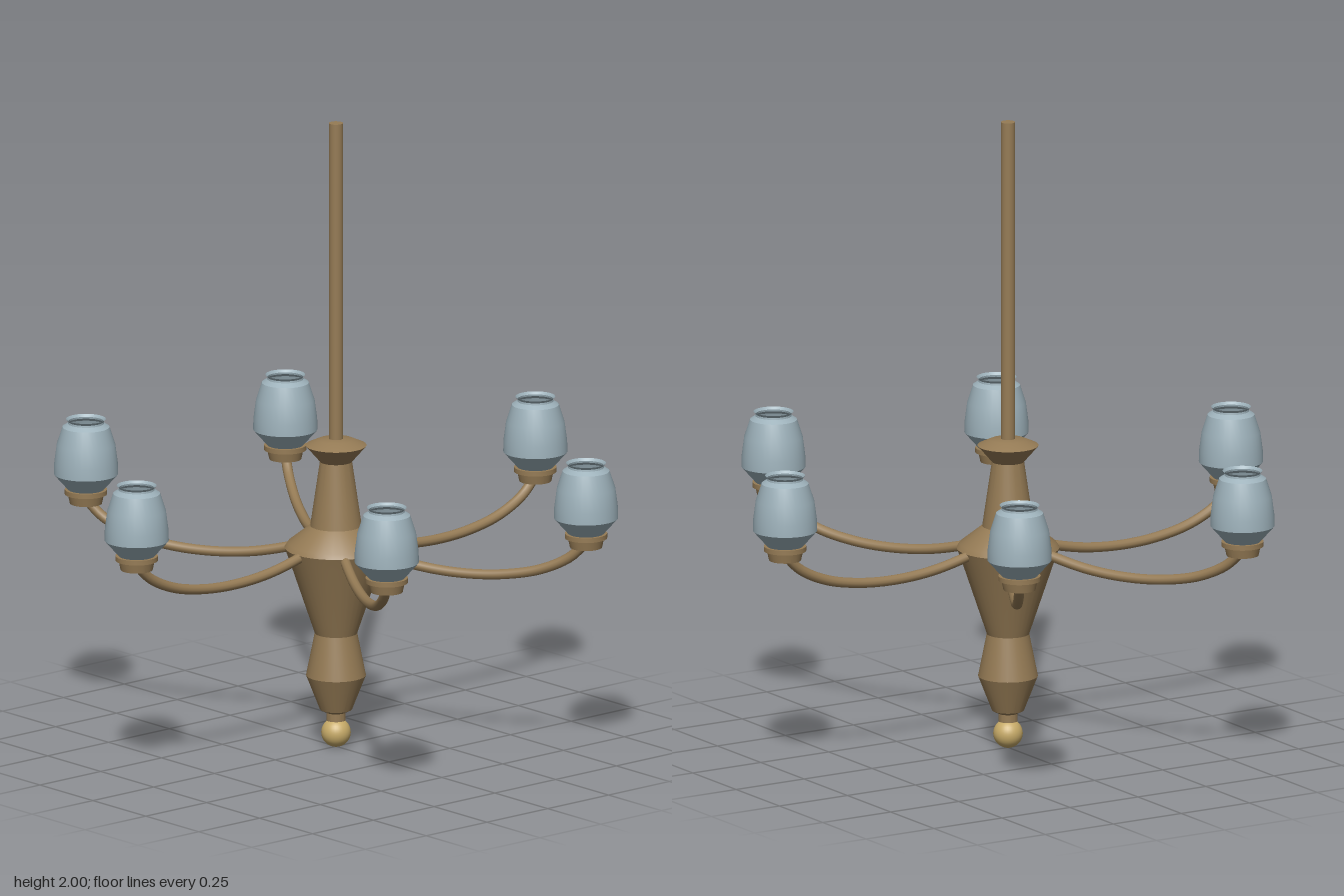
import * as THREE from 'three';
import { toCreasedNormals } from 'three/addons/utils/BufferGeometryUtils.js';

const bronze = new THREE.MeshStandardMaterial({ color: 0x957b55 });
bronze.name = 'bronze';
const brass = new THREE.MeshStandardMaterial({ color: 0xc6aa68 });
brass.name = 'brass';
const glass = new THREE.MeshStandardMaterial({ color: 0x9db1ba, side: THREE.DoubleSide });
glass.name = 'glass';

function part(name, geometry, material) {
  const mesh = new THREE.Mesh(geometry, material);
  mesh.name = name;
  return mesh;
}

// Turned part from [radius, height] points, bottom to top, with crisp rings
function turned(points) {
  const profile = points.map(([r, y]) => new THREE.Vector2(r, y));
  return toCreasedNormals(new THREE.LatheGeometry(profile, 32), 0.35);
}

const columnGeometry = turned([
  [0, 0.085], [0.03, 0.085], [0.03, 0.11], [0.05, 0.12], [0.093, 0.23],
  [0.066, 0.365], [0.145, 0.6], [0.16, 0.64], [0.15, 0.655], [0.08, 0.71],
  [0.05, 0.915], [0.095, 0.967], [0.055, 0.985], [0, 0.99],
]);
const cupGeometry = turned([
  [0, 0.71], [0.05, 0.71], [0.056, 0.738], [0.066, 0.74], [0.066, 0.755], [0, 0.755],
]);
const shadeGeometry = turned([
  [0.056, 0.755], [0.1, 0.805], [0.099, 0.84], [0.091, 0.9], [0.073, 0.955],
  [0.056, 0.966], [0.055, 0.972], [0.062, 0.98],
]);
const socketGeometry = new THREE.CylinderGeometry(0.036, 0.036, 0.008, 24);

// Sweeping arm from the hub out to the cup
const armCurve = new THREE.CatmullRomCurve3([
  [0.07, 0.655], [0.15, 0.63], [0.28, 0.602], [0.42, 0.592], [0.55, 0.6],
  [0.67, 0.626], [0.765, 0.672], [0.82, 0.725],
].map(([x, y]) => new THREE.Vector3(x, y, 0)));
const armGeometry = new THREE.TubeGeometry(armCurve, 40, 0.016, 12);

export function createModel() {
  const model = new THREE.Group();
  model.name = 'chandelier';

  // Central column, hanging rod and ball finial
  model.add(part('column', columnGeometry, bronze));
  const rod = part('rod', new THREE.CylinderGeometry(0.022, 0.022, 1.03, 24), bronze);
  rod.position.y = 1.485;
  model.add(rod);
  const finial = part('finial', new THREE.SphereGeometry(0.046, 32, 20), brass);
  finial.position.y = 0.046;
  model.add(finial);

  // Six lamps evenly spaced around the column
  for (let i = 0; i < 6; i++) {
    const lamp = new THREE.Group();
    lamp.name = `lamp${i + 1}`;
    lamp.add(part('arm', armGeometry, bronze));
    const holder = new THREE.Group();
    holder.name = 'lampHolder';
    holder.position.x = 0.82;
    const socket = part('socketDisc', socketGeometry, glass);
    socket.position.y = 0.758;
    holder.add(part('cup', cupGeometry, bronze), part('shade', shadeGeometry, glass), socket);
    lamp.add(holder);
    lamp.rotation.y = (i * Math.PI) / 3;
    model.add(lamp);
  }
  return model;
}
